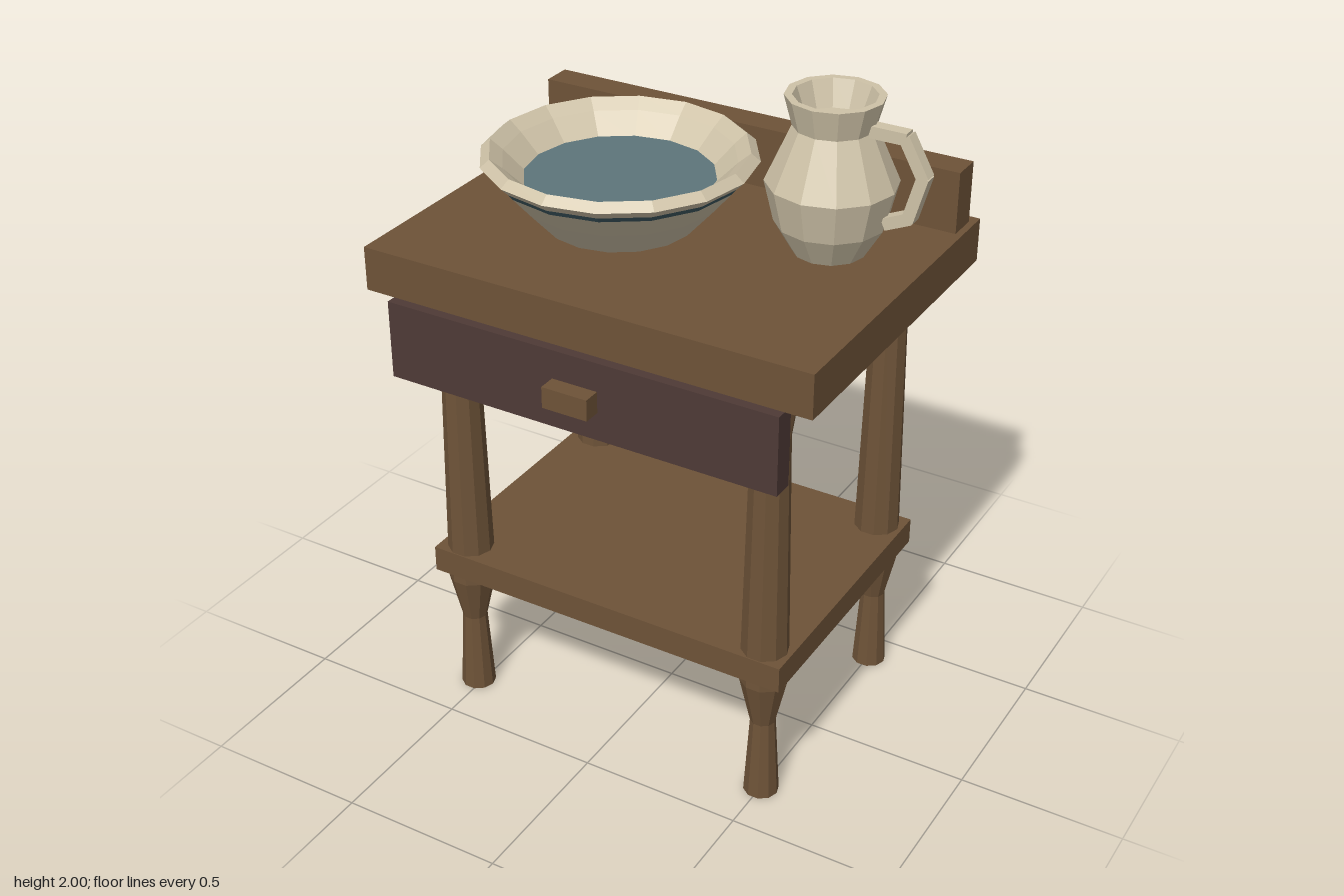
import * as THREE from 'three';

const mat = (name, color) => {
  const m = new THREE.MeshStandardMaterial({ color, flatShading: true });
  m.name = name;
  return m;
};

export function createModel() {
  const model = new THREE.Group();
  model.name = 'washstand';
  const wood = mat('wood', 0x6e5338);
  const darkWood = mat('dark wood', 0x4e3a36);
  const ceramic = mat('ceramic', 0xcfc3a8);
  const glaze = mat('blue glaze', 0x3f5a63);
  const water = mat('water', 0x5d757b);

  const add = (name, geometry, material, parent = model) => {
    const mesh = new THREE.Mesh(geometry, material);
    mesh.name = name;
    parent.add(mesh);
    return mesh;
  };
  // box given by its extents on each axis
  const box = (name, material, [x0, x1], [y0, y1], [z0, z1]) =>
    add(name, new THREE.BoxGeometry(x1 - x0, y1 - y0, z1 - z0), material)
      .position.set((x0 + x1) / 2, (y0 + y1) / 2, (z0 + z1) / 2);
  // faceted turned shape from [radius, height] pairs
  const turned = (profile, sides, start = 0) =>
    new THREE.LatheGeometry(profile.map(([r, y]) => new THREE.Vector2(r, y)), sides, start);

  // stand
  box('tableTop', wood, [-0.71, 0.695], [1.407, 1.54], [-0.555, 0.483]);
  box('backboard', wood, [-0.69, 0.675], [1.54, 1.727], [-0.52, -0.427]);
  box('shelf', wood, [-0.6, 0.583], [0.435, 0.517], [-0.47, 0.4]);
  box('drawerFront', darkWood, [-0.625, 0.61], [1.16, 1.4], [0.437, 0.502]);
  box('drawerPull', wood, [-0.08, 0.063], [1.247, 1.312], [0.502, 0.555]);

  // turned legs
  const legShape = turned([[0, 0], [0.053, 0], [0.038, 0.26], [0.072, 0.41],
    [0.056, 1.22], [0.083, 1.407], [0, 1.407]], 10, Math.PI / 2);
  for (const x of [-0.515, 0.5])
    for (const z of [-0.4, 0.33]) add('leg', legShape, wood).position.set(x, 0, z);

  // basin with a glazed stripe under the rim
  const basin = new THREE.Group();
  basin.name = 'basin';
  basin.position.set(-0.19, 0, -0.034);
  model.add(basin);
  add('basinWall', turned([[0, 1.541], [0.22, 1.541], [0.3, 1.63], [0.36, 1.7]], 16), ceramic, basin);
  add('basinStripe', turned([[0.36, 1.7], [0.373, 1.717]], 16), glaze, basin);
  add('basinRim', turned([[0.373, 1.717], [0.398, 1.742], [0.371, 1.765],
    [0.335, 1.735], [0.27, 1.67]], 16), ceramic, basin);
  add('water', turned([[0.276, 1.678], [0, 1.678]], 16), water, basin);

  // pitcher
  const pitcher = new THREE.Group();
  pitcher.name = 'pitcher';
  pitcher.position.set(0.411, 0, -0.161);
  model.add(pitcher);
  add('pitcherBody', turned([[0, 1.541], [0.105, 1.541], [0.158, 1.63], [0.187, 1.75],
    [0.115, 1.912], [0.139, 2], [0.117, 2], [0.088, 1.925], [0, 1.925]], 12), ceramic, pitcher);

  // handle of straight square bars
  const path = [[0.11, 1.922], [0.215, 1.922], [0.272, 1.82], [0.237, 1.695], [0.17, 1.665]];
  for (let i = 0; i < path.length - 1; i++) {
    const [x0, y0] = path[i], [x1, y1] = path[i + 1];
    const bar = add('handleBar', new THREE.BoxGeometry(Math.hypot(x1 - x0, y1 - y0) + 0.01, 0.035, 0.038),
      ceramic, pitcher);
    bar.position.set((x0 + x1) / 2, (y0 + y1) / 2, 0);
    bar.rotation.z = Math.atan2(y1 - y0, x1 - x0);
  }
  return model;
}
